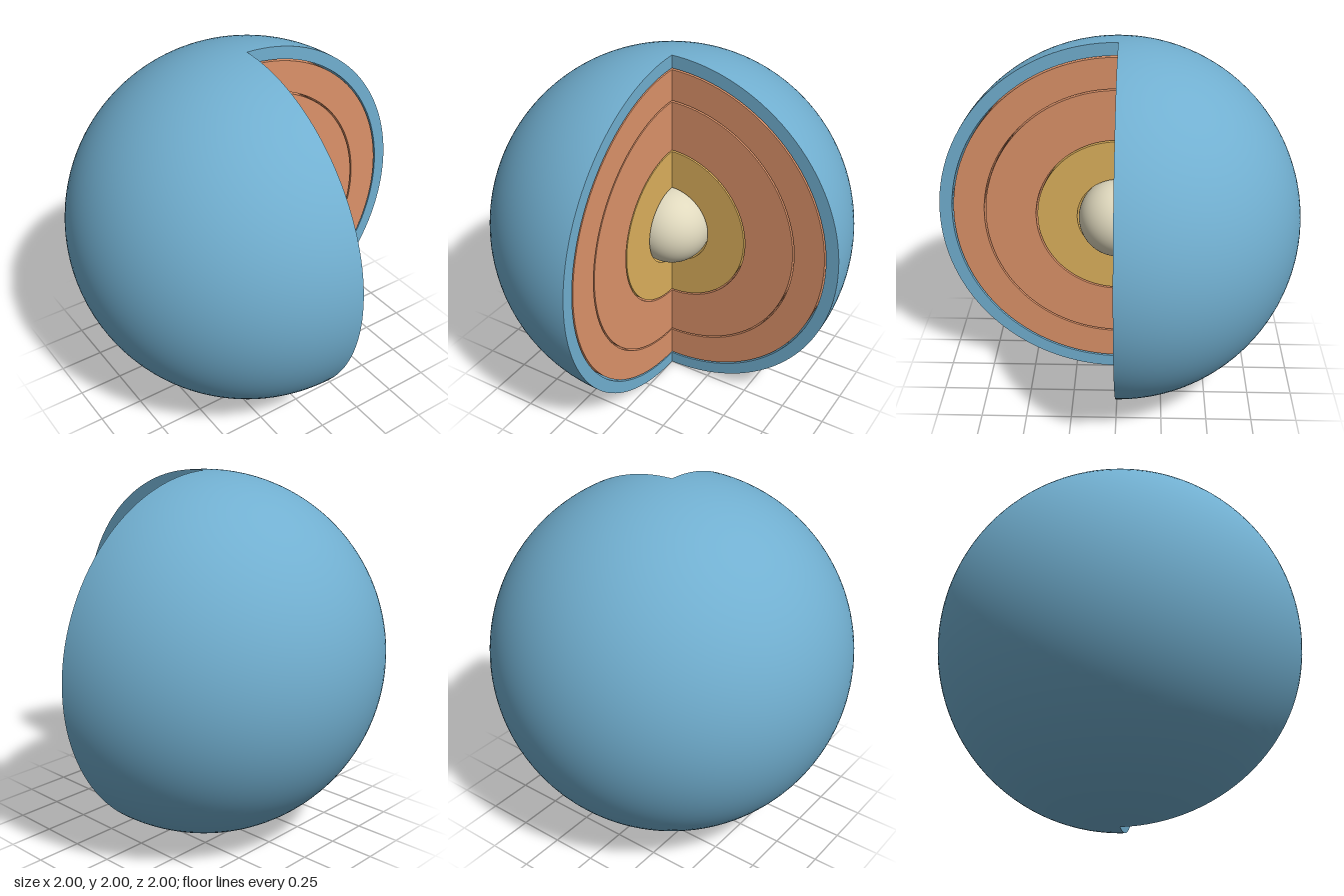
import * as THREE from 'three';
import { mergeGeometries } from 'three/addons/utils/BufferGeometryUtils.js';

const material = (name, color) => {
  const m = new THREE.MeshStandardMaterial({ color });
  m.name = name;
  return m;
};

// Three quarters of a sphere; the +x +z quarter is missing
const openSphere = (r) => new THREE.SphereGeometry(r, 96, 64, Math.PI, Math.PI * 1.5);

// Inward-facing version of the same surface
function hollow(r) {
  const g = openSphere(r);
  const index = g.index.array;
  for (let i = 0; i < index.length; i += 3) {
    [index[i], index[i + 1]] = [index[i + 1], index[i]];
  }
  const n = g.attributes.normal;
  for (let i = 0; i < n.count; i++) n.setXYZ(i, -n.getX(i), -n.getY(i), -n.getZ(i));
  return g;
}

// Flat half ring closing one side of the cut; start picks the +x or -x half
function cutFace(outer, inner, start) {
  return new THREE.RingGeometry(inner, outer, 64, 1, start, Math.PI);
}

// Thick shell: outside, inside and the two cut faces
function shell(outer, inner) {
  return mergeGeometries([
    openSphere(outer),
    hollow(inner),
    cutFace(outer, inner, -Math.PI / 2),
    cutFace(outer, inner, Math.PI / 2).rotateY(Math.PI / 2),
  ]);
}

export function createModel() {
  const group = new THREE.Group();
  group.name = 'layeredGlobe';
  const blue = material('crust blue', 0x71afd0);
  const orange = material('mantle orange', 0xdc9269);
  const gold = material('outer core gold', 0xdcb05c);
  const cream = material('inner core cream', 0xe0d9be);

  const add = (name, geometry, mat) => {
    const mesh = new THREE.Mesh(geometry, mat);
    mesh.name = name;
    mesh.position.y = 1;
    group.add(mesh);
  };

  // Nested layers, separated by narrow gaps
  add('crust', shell(1, 0.93), blue);
  add('upperMantle', shell(0.921, 0.75), orange);
  add('lowerMantle', shell(0.741, 0.46), orange);
  add('outerCore', shell(0.451, 0.23), gold);
  add('innerCore', new THREE.SphereGeometry(0.22, 64, 48), cream);
  return group;
}
